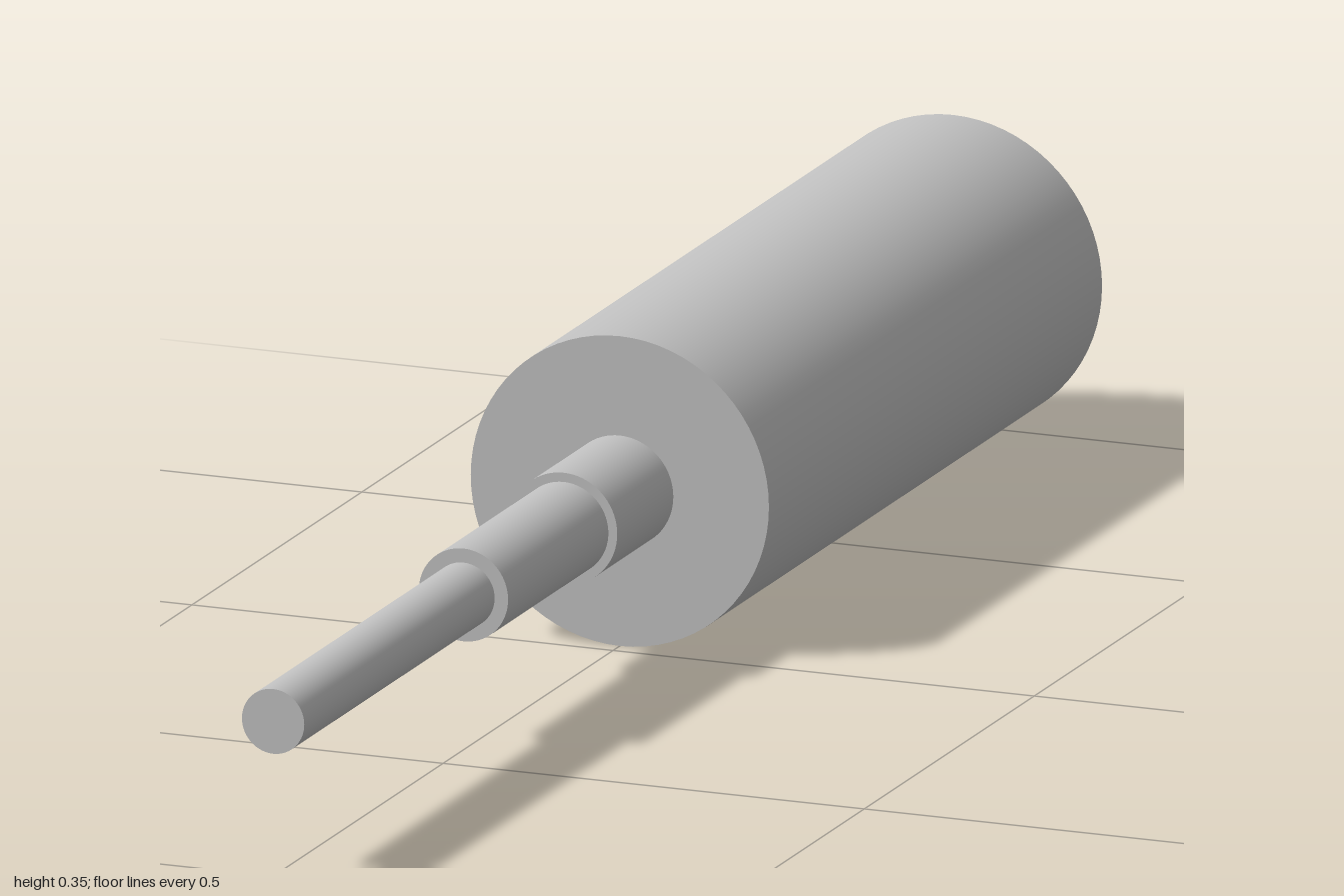
import * as THREE from 'three';

export function createModel() {
  const group = new THREE.Group();
  const grey = new THREE.MeshStandardMaterial({ color: 0xc0c0c0 });
  grey.name = 'plain grey';
  const axisY = 0.177;

  // Closed cylinder lying along z, from its back end to its front end
  function addStep(name, radius, back, front) {
    const geometry = new THREE.CylinderGeometry(radius, radius, front - back, 72);
    geometry.rotateX(Math.PI / 2);
    const mesh = new THREE.Mesh(geometry, grey);
    mesh.name = name;
    mesh.position.set(0, axisY, (back + front) / 2);
    group.add(mesh);
  }

  // Stepped shaft, thick to thin
  addStep('body', 0.177, -1, -0.02);
  addStep('collar', 0.0635, -0.02, 0.145);
  addStep('sleeve', 0.053, 0.145, 0.44);
  addStep('pin', 0.037, 0.44, 1);

  return group;
}
